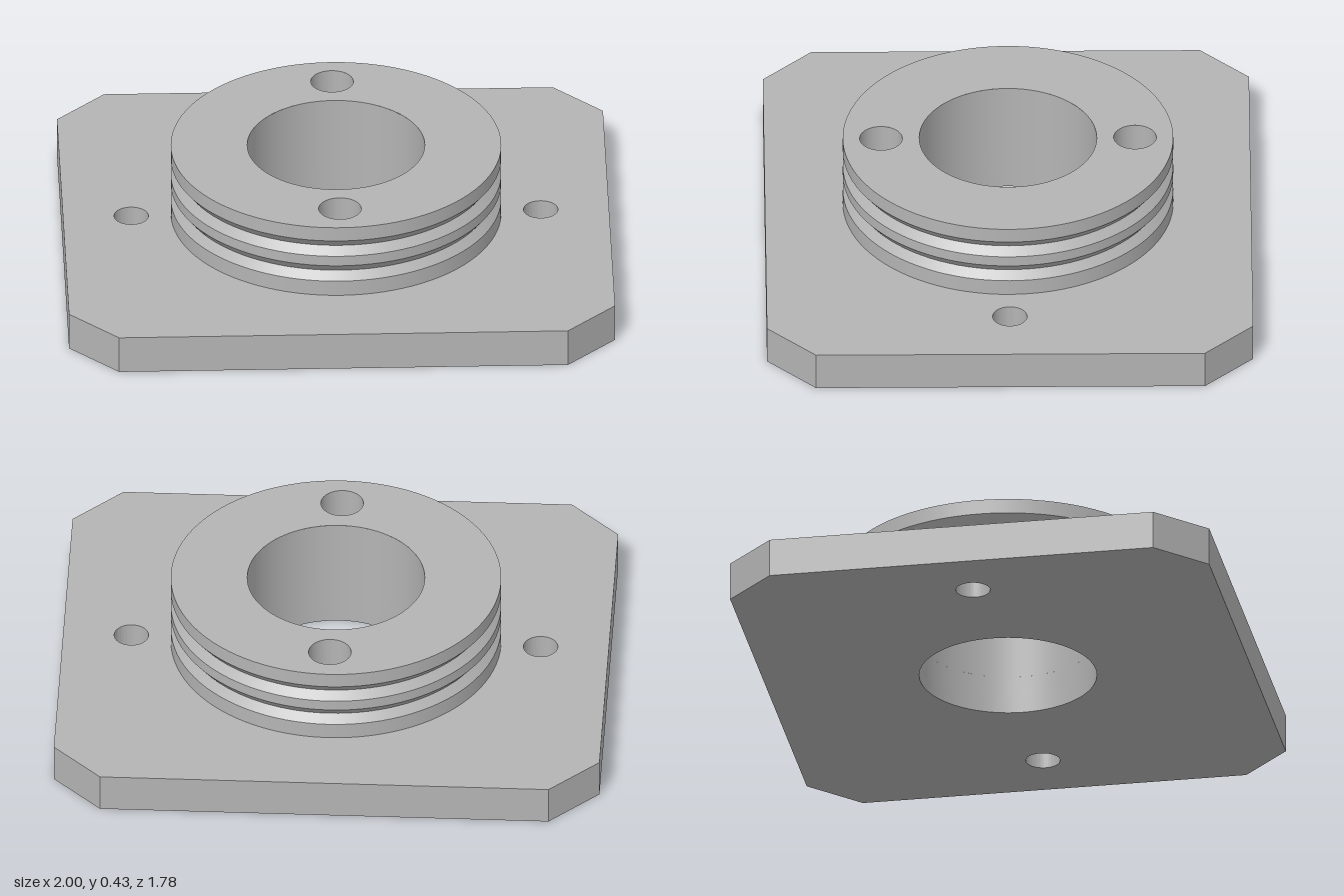
import * as THREE from 'three';
import { toCreasedNormals } from 'three/addons/utils/BufferGeometryUtils.js';

const SEG = 96;
const PLATE_TOP = 0.144, TOP = 0.43;
const BORE_R = 0.325, COLLAR_R = 0.605, GROOVE_R = 0.578;
const BOLT_X = 0.75, BOLT_R = 0.063;
const PIN_Z = 0.465, PIN_R = 0.078, PIN_FLOOR = 0.23;

function circlePath(x, y, r) {
  return new THREE.Path().absarc(x, y, r, 0, Math.PI * 2, true);
}

export function createModel() {
  const model = new THREE.Group();
  model.name = 'flangedCollar';
  const metal = new THREE.MeshStandardMaterial({ color: 0xb4b4b4 });
  metal.name = 'grey metal';

  const add = (parent, name, geometry) => {
    const mesh = new THREE.Mesh(geometry, metal);
    mesh.name = name;
    parent.add(mesh);
    return mesh;
  };
  // One band of revolution; upward faces outward, downward faces inward
  const band = (parent, name, r0, y0, r1, y1) => add(parent, name,
    new THREE.LatheGeometry([new THREE.Vector2(r0, y0), new THREE.Vector2(r1, y1)], SEG));

  // Base plate with chamfered corners, centre bore and two bolt holes
  const w = 1, d = 0.89, c = 0.178;
  const outline = new THREE.Shape([
    [w, -d + c], [w, d - c], [w - c, d], [-w + c, d],
    [-w, d - c], [-w, -d + c], [-w + c, -d], [w - c, -d],
  ].map(([x, y]) => new THREE.Vector2(x, y)));
  outline.holes.push(circlePath(0, 0, BORE_R),
    circlePath(BOLT_X, 0, BOLT_R), circlePath(-BOLT_X, 0, BOLT_R));
  const plate = new THREE.ExtrudeGeometry(outline,
    { depth: PLATE_TOP, bevelEnabled: false, curveSegments: SEG });
  plate.rotateX(-Math.PI / 2);
  add(model, 'basePlate', toCreasedNormals(plate, 0.5));

  // Collar side with two V grooves
  const collar = new THREE.Group();
  collar.name = 'collar';
  model.add(collar);
  const profile = [
    [COLLAR_R, PLATE_TOP], [COLLAR_R, 0.204], [GROOVE_R, 0.235], [COLLAR_R, 0.269],
    [COLLAR_R, 0.309], [GROOVE_R, 0.34], [COLLAR_R, 0.374], [COLLAR_R, TOP],
  ];
  for (let i = 1; i < profile.length; i++) {
    band(collar, 'collarBand' + i, ...profile[i - 1], ...profile[i]);
  }
  band(collar, 'boreWall', BORE_R, TOP, BORE_R, PLATE_TOP);

  // Collar top face with openings for the bore and pin holes
  const ring = new THREE.Shape().absarc(0, 0, COLLAR_R, 0, Math.PI * 2, false);
  ring.holes.push(circlePath(0, 0, BORE_R),
    circlePath(0, PIN_Z, PIN_R), circlePath(0, -PIN_Z, PIN_R));
  const face = new THREE.ShapeGeometry(ring, SEG);
  face.rotateX(-Math.PI / 2);
  face.translate(0, TOP, 0);
  add(collar, 'collarTop', face);

  // Blind pin holes
  for (const side of [1, -1]) {
    const hole = new THREE.Group();
    hole.name = side > 0 ? 'frontPinHole' : 'backPinHole';
    hole.position.z = side * PIN_Z;
    collar.add(hole);
    band(hole, 'pinHoleWall', PIN_R, TOP, PIN_R, PIN_FLOOR);
    const floor = new THREE.CircleGeometry(PIN_R, SEG);
    floor.rotateX(-Math.PI / 2);
    floor.translate(0, PIN_FLOOR, 0);
    add(hole, 'pinHoleFloor', floor);
  }
  return model;
}
